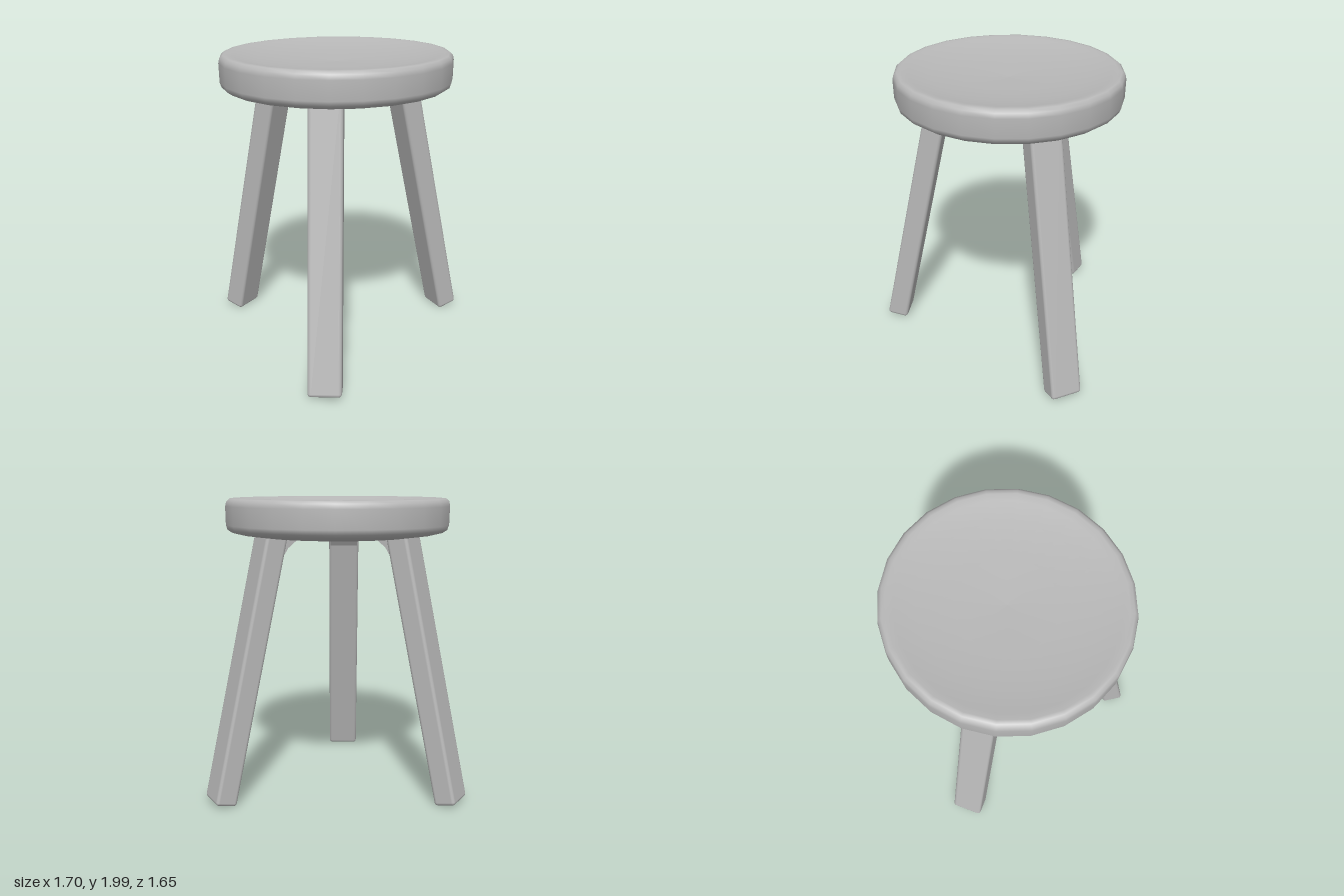
import * as THREE from 'three';
import { RoundedBoxGeometry } from 'three/addons/geometries/RoundedBoxGeometry.js';

const grey = new THREE.MeshStandardMaterial({ color: 0xb8b8b8 });
grey.name = 'plain grey';

function part(name, geometry) {
  const mesh = new THREE.Mesh(geometry, grey);
  mesh.name = name;
  return mesh;
}

// Round seat: domed underside, softened rim, shallow dish on top
function makeSeat() {
  const profile = [
    [0, 1.735], [0.3, 1.738], [0.52, 1.75], [0.66, 1.768], [0.71, 1.78], [0.74, 1.8],
    [0.75, 1.83], [0.752, 1.95], [0.745, 1.98], [0.725, 1.997], [0.7, 2],
    [0.66, 1.99], [0.52, 1.965], [0.3, 1.945], [0, 1.935],
  ].map(([r, y]) => new THREE.Vector2(r, y));
  const seat = part('seat', new THREE.LatheGeometry(profile, 24));
  seat.position.x = -0.105;
  seat.scale.z = 0.98;
  return seat;
}

// Splayed leg leaning inwards along -x, with a small brace where it meets the seat
function makeLeg(name) {
  const leg = new THREE.Group();
  leg.name = name;

  const tilt = Math.atan(0.226);
  const length = 1.84;
  const post = part('legPost', new RoundedBoxGeometry(0.147, length, 0.213, 2, 0.022));
  post.geometry.translate(0, length / 2, 0);
  post.rotation.z = tilt;
  post.position.set(0.78, 0.022, 0);

  const outline = new THREE.Shape([
    new THREE.Vector2(0.336, 1.65), new THREE.Vector2(0.38, 1.78),
    new THREE.Vector2(0.22, 1.78), new THREE.Vector2(0.245, 1.74),
    new THREE.Vector2(0.31, 1.69),
  ]);
  const brace = part('legBrace', new THREE.ExtrudeGeometry(outline, { depth: 0.19, bevelEnabled: false }));
  brace.position.z = -0.095;

  leg.add(post, brace);
  return leg;
}

export function createModel() {
  const stool = new THREE.Group();
  stool.name = 'stool';
  stool.add(makeSeat(), makeLeg('leftLeg'));

  // Mirrored front and back legs
  for (const side of [1, -1]) {
    const leg = makeLeg(side > 0 ? 'frontLeg' : 'backLeg');
    leg.position.set(-0.18, 0, 0.048 * side);
    leg.rotation.y = (-side * Math.PI * 2) / 3;
    stool.add(leg);
  }
  return stool;
}
